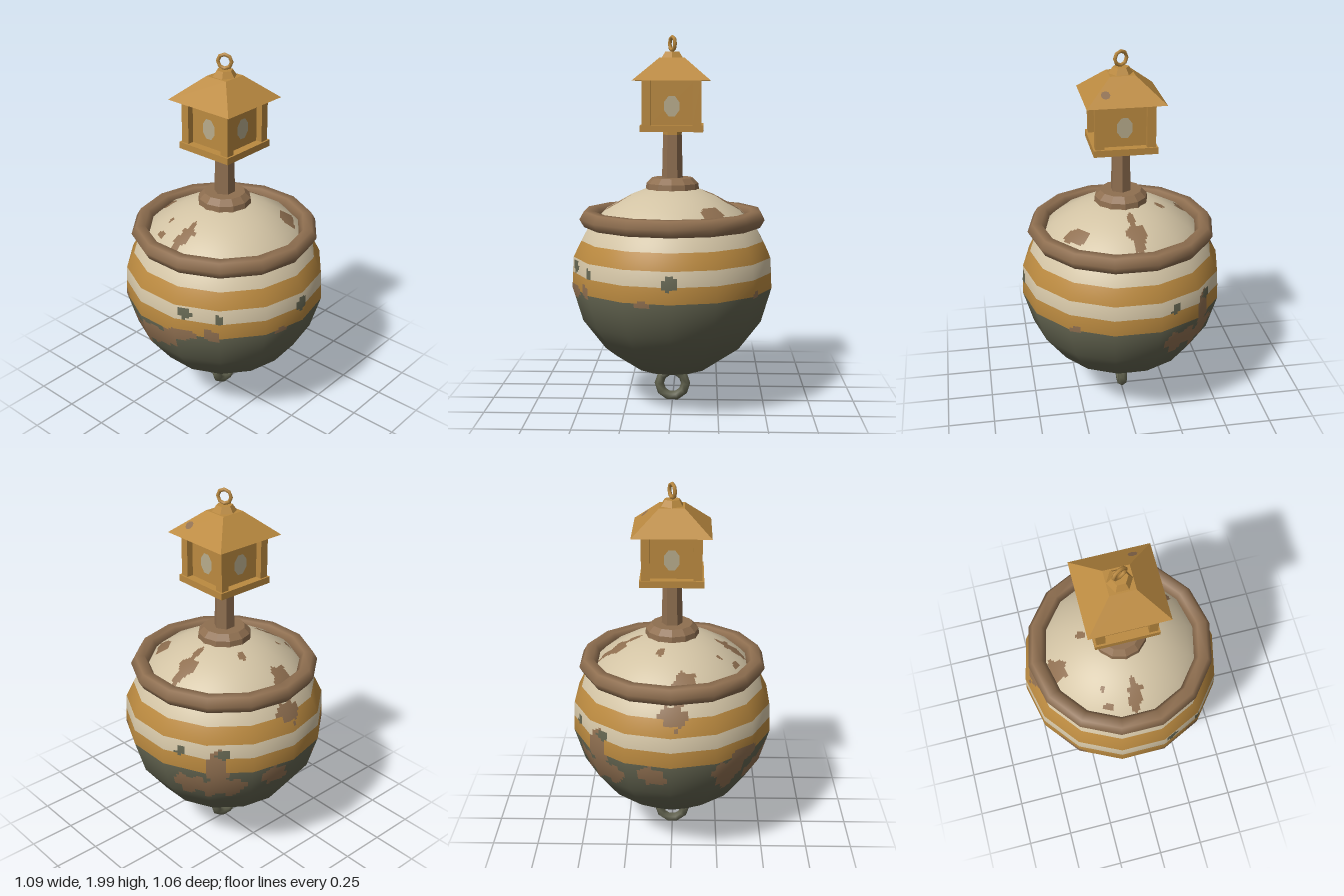
import * as THREE from 'three';

const mat = (name, color) => Object.assign(new THREE.MeshStandardMaterial({ color }), { name });
const rad = THREE.MathUtils.degToRad;

// Weather marks on the hull: [angle from front (deg), height, half width, half height]
const rustMarks = [
  // front waterline
  [-54, 0.57, 0.1, 0.1], [-45, 0.66, 0.1, 0.045], [-22, 0.52, 0.15, 0.05],
  [-3, 0.58, 0.12, 0.06], [14, 0.65, 0.09, 0.04], [34, 0.67, 0.05, 0.035],
  // back and sides
  [225, 0.56, 0.14, 0.07], [224, 0.67, 0.05, 0.13], [205, 0.55, 0.06, 0.07],
  [258, 0.6, 0.08, 0.06], [272, 0.93, 0.07, 0.06], [145, 0.67, 0.03, 0.018], [75, 0.66, 0.03, 0.02],
  // dome
  [0, 1.09, 0.035, 0.045], [188, 1.115, 0.052, 0.027], [187, 1.09, 0.027, 0.08],
  [128, 1.08, 0.06, 0.03], [281, 1.05, 0.06, 0.04], [254, 1.155, 0.02, 0.01],
  [328, 1.11, 0.014, 0.007], [9, 1.113, 0.014, 0.008], [337, 1.06, 0.03, 0.015],
];
const chippedMarks = [
  [19, 0.79, 0.035, 0.035], [38, 0.775, 0.022, 0.025], [90, 0.775, 0.04, 0.035],
  [228, 0.77, 0.035, 0.03], [203, 0.77, 0.025, 0.03],
];

function inMarks(marks, x, y, z) {
  const a = Math.atan2(x, z), r = Math.hypot(x, z);
  const ragged = 1 + 0.16 * Math.sin(x * 70 + y * 45) + 0.14 * Math.sin(z * 85 - y * 60);
  return marks.some(([deg, my, w, h]) => {
    const d = a - rad(deg);
    const da = Math.atan2(Math.sin(d), Math.cos(d));
    return Math.hypot(r * da / w, (y - my) / h) < ragged;
  });
}

// Paint index: 0 cream, 1 ochre, 2 olive, 3 brown
function paint(x, y, z) {
  if (inMarks(chippedMarks, x, y, z)) return 2;
  if (inMarks(rustMarks, x, y, z)) return 3;
  if (y < 0.665) return 2;
  if (y < 0.75) return 1;
  if (y < 0.83) return 0;
  return y < 0.915 ? 1 : 0;
}

// Fourteen-sided hull with finely divided facets, so paint can follow ragged edges
function hullGeometry() {
  const profile = [[0, 0.205], [0.21, 0.21], [0.37, 0.32], [0.49, 0.48], [0.545, 0.665], [0.542, 0.75],
    [0.537, 0.83], [0.495, 0.915], [0.46, 0.98], [0.37, 1.07], [0.23, 1.15], [0.13, 1.19], [0, 1.2]];
  const rows = [profile[0]];
  for (let i = 1; i < profile.length; i++) {
    const [r0, y0] = profile[i - 1], [r1, y1] = profile[i];
    const n = i === 1 ? 1 : Math.ceil(Math.hypot(r1 - r0, y1 - y0) / 0.013);
    for (let k = 1; k <= n; k++) rows.push([r0 + (r1 - r0) * k / n, y0 + (y1 - y0) * k / n]);
  }
  const sides = 14, div = 12, cols = sides * div;
  const pos = [], nor = [], faces = [[], [], [], []];
  const n = new THREE.Vector3();
  for (const [r, y] of rows) {
    for (let c = 0; c <= cols; c++) {
      const f = Math.floor(c / div), t = (c % div) / div;
      const a0 = Math.PI / 2 + f * 2 * Math.PI / sides, a1 = a0 + 2 * Math.PI / sides;
      const x = r * (Math.sin(a0) * (1 - t) + Math.sin(a1) * t);
      const z = r * (Math.cos(a0) * (1 - t) + Math.cos(a1) * t);
      pos.push(x, y, z);
      n.set(x / 0.29, (y - 0.7) / 0.25, z / 0.29).normalize();
      nor.push(n.x, n.y, n.z);
    }
  }
  for (let r = 0; r < rows.length - 1; r++) {
    for (let c = 0; c < cols; c++) {
      const a = r * (cols + 1) + c, d = a + cols + 1;
      const mid = k => (pos[a * 3 + k] + pos[(d + 1) * 3 + k]) / 2;
      faces[paint(mid(0), mid(1), mid(2))].push(a, a + 1, d, a + 1, d + 1, d);
    }
  }
  const g = new THREE.BufferGeometry();
  g.setAttribute('position', new THREE.Float32BufferAttribute(pos, 3));
  g.setAttribute('normal', new THREE.Float32BufferAttribute(nor, 3));
  g.setIndex(faces.flat());
  let start = 0;
  faces.forEach((list, i) => { g.addGroup(start, list.length, i); start += list.length; });
  return g;
}

// Hard-edged tapered prism standing on y = bottom
function prism(rTop, rBottom, bottom, top, sides, turn = 0) {
  const g = new THREE.CylinderGeometry(rTop, rBottom, top - bottom, sides).toNonIndexed();
  g.computeVertexNormals();
  return g.rotateY(turn).translate(0, (top + bottom) / 2, 0);
}

const box = (w, h, d, x, y, z) => new THREE.BoxGeometry(w, h, d).translate(x, y, z);

export function createModel() {
  const cream = mat('cream paint', 0xd2c3a4);
  const ochre = mat('ochre paint', 0xbb8a40);
  const olive = mat('olive paint', 0x62634f);
  const brown = mat('rusty brown', 0x8f6f50);
  const pane = mat('pale window', 0xb8ac8c);

  const model = new THREE.Group();
  model.name = 'buoy';
  const add = (name, geometry, material, parent = model) => {
    const mesh = new THREE.Mesh(geometry, material);
    mesh.name = name;
    parent.add(mesh);
    return mesh;
  };

  // Hull and fender ring
  add('hull', hullGeometry(), [cream, ochre, olive, brown]);
  add('fenderRing', new THREE.TorusGeometry(0.455, 0.049, 6, 14).rotateX(Math.PI / 2).translate(0, 1.03, 0), brown);

  // Mast and its foot
  add('mastFoot', prism(0.14, 0.145, 1.17, 1.215, 12), brown);
  add('mastFootBevel', prism(0.11, 0.14, 1.215, 1.245, 12), brown);
  add('mast', prism(0.05, 0.056, 1.24, 1.475, 6), brown);
  add('mastCollar', prism(0.05, 0.05, 1.475, 1.5, 6), ochre);

  // Lantern house
  const lantern = new THREE.Group();
  lantern.name = 'lantern';
  model.add(lantern);
  add('lanternFloor', box(0.33, 0.035, 0.33, 0, 1.5125, 0), ochre, lantern);
  add('lanternWalls', box(0.24, 0.23, 0.24, 0, 1.645, 0), ochre, lantern);
  for (const x of [-1, 1]) for (const z of [-1, 1])
    add('cornerPost', box(0.045, 0.23, 0.045, x * 0.1325, 1.645, z * 0.1325), ochre, lantern);
  for (let i = 0; i < 4; i++) {
    const g = new THREE.CircleGeometry(1, 8, Math.PI / 8).scale(0.043, 0.057, 1);
    add('window', g.translate(0, 1.628, 0.122).rotateY(i * Math.PI / 2), pane, lantern);
  }

  // Roof, cap and lifting ring
  const s = Math.SQRT2;
  add('roof', prism(0.065 * s, 0.2025 * s, 1.76, 1.88, 4, Math.PI / 4), ochre, lantern);
  add('roofCap', prism(0.042, 0.064, 1.88, 1.912, 6, Math.PI / 6), ochre, lantern);
  add('liftingRing', new THREE.TorusGeometry(0.036, 0.01, 6, 8).rotateY(rad(25)).translate(0, 1.954, 0), ochre, lantern);
  const stain = add('roofStain', new THREE.CircleGeometry(0.024, 8), brown, lantern);
  stain.position.set(0.1, 1.8115, -0.145);
  stain.lookAt(0.1, 1.8115 + 0.135, -0.145 - 0.12);

  // Mooring staple and ring below the hull
  const staple = new THREE.CatmullRomCurve3([[-0.065, 0.225], [-0.025, 0.175], [0, 0.16], [0.025, 0.175], [0.065, 0.225]]
    .map(([x, y]) => new THREE.Vector3(x, y, 0)));
  add('mooringStaple', new THREE.TubeGeometry(staple, 8, 0.011, 6), olive);
  add('mooringRing', new THREE.TorusGeometry(0.073, 0.026, 6, 10).rotateY(Math.PI / 2).translate(0, 0.1, 0), olive);

  return model;
}
